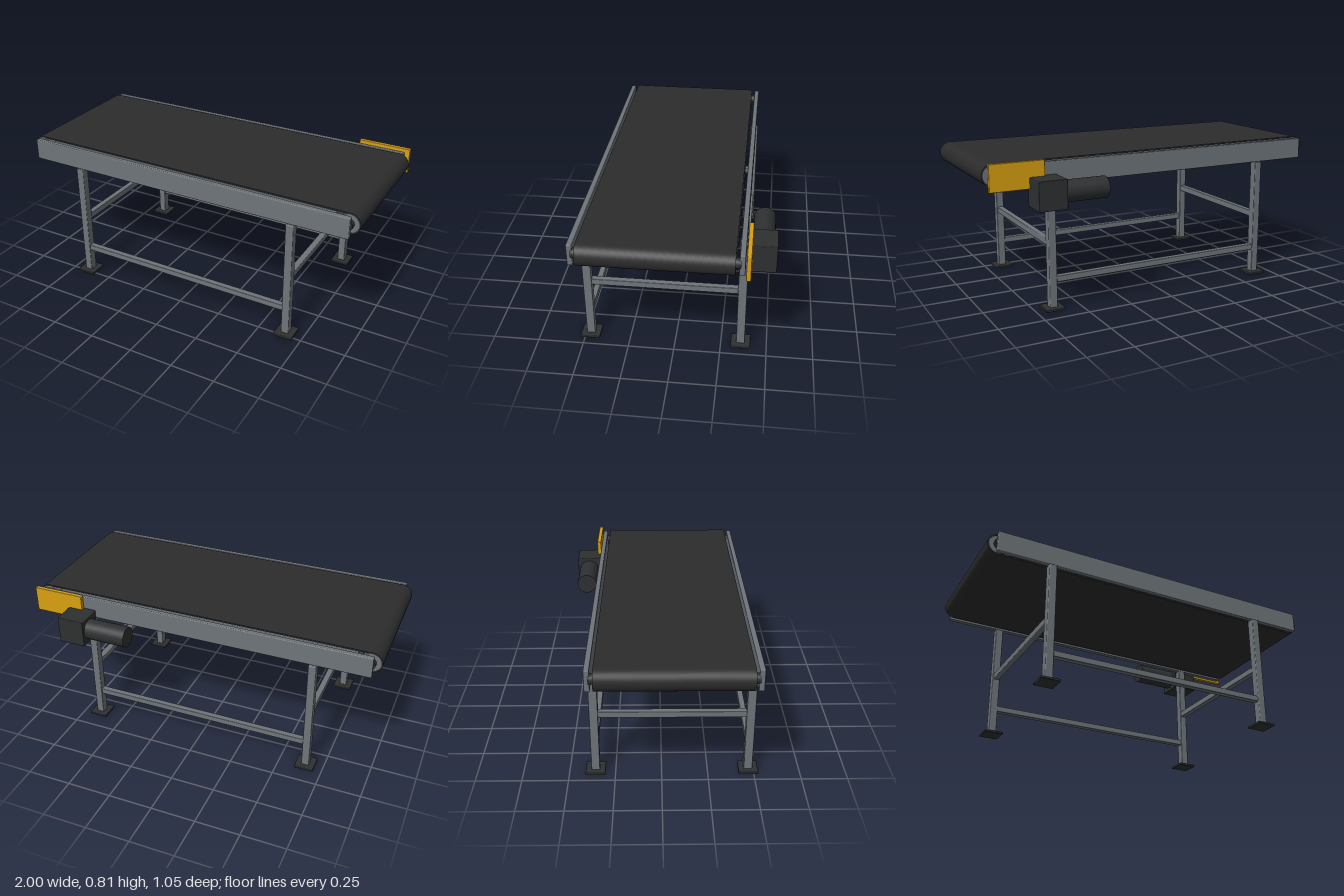
import * as THREE from 'three';
import { RoundedBoxGeometry } from 'three/addons/geometries/RoundedBoxGeometry.js';

const material = (name, color) => new THREE.MeshStandardMaterial({ name, color });

export function createModel() {
  const steel = material('painted steel', 0x6e757a);
  const rubber = material('belt rubber', 0x2c2c2c);
  const dark = material('dark metal', 0x2e3031);
  const yellow = material('safety yellow', 0xd9a010);

  const model = new THREE.Group();
  model.name = 'beltConveyor';

  const add = (name, geometry, mat, x, y, z) => {
    const mesh = new THREE.Mesh(geometry, mat);
    mesh.name = name;
    mesh.position.set(x, y, z);
    model.add(mesh);
    return mesh;
  };
  const box = (name, mat, [w, h, d], [x, y, z], r = 0.004) =>
    add(name, new RoundedBoxGeometry(w, h, d, 2, r), mat, x, y, z);
  const rod = (name, mat, r, length, [x, y, z], axis) => {
    const geometry = new THREE.CylinderGeometry(r, r, length, 40);
    if (axis === 'z') geometry.rotateX(Math.PI / 2);
    else geometry.rotateZ(Math.PI / 2);
    return add(name, geometry, mat, x, y, z);
  };

  const midZ = 0.0565;     // centre line of the frame
  const beltY = 0.742;
  const drumX = 0.94;
  const beltR = 0.06;
  const beltWidth = 0.767;

  // Belt: a stadium-shaped loop swept across the width
  const stadium = (path, r) => {
    path.moveTo(-drumX, -r);
    path.lineTo(drumX, -r);
    path.absarc(drumX, 0, r, -Math.PI / 2, Math.PI / 2, false);
    path.lineTo(-drumX, r);
    path.absarc(-drumX, 0, r, Math.PI / 2, Math.PI * 1.5, false);
    return path;
  };
  const loop = stadium(new THREE.Shape(), beltR);
  loop.holes.push(stadium(new THREE.Path(), beltR - 0.008));
  const beltGeometry = new THREE.ExtrudeGeometry(loop, { depth: beltWidth, bevelEnabled: false, curveSegments: 20 });
  add('belt', beltGeometry, rubber, 0, beltY, midZ - beltWidth / 2);

  // End drums with their shafts
  for (const side of [-1, 1]) {
    rod('drum', steel, beltR - 0.008, beltWidth - 0.004, [side * drumX, beltY, midZ], 'z');
    rod('drumShaft', dark, 0.027, 0.816, [side * drumX, beltY, midZ], 'z');
  }

  // Slider bed inside the belt loop
  box('sliderBed', steel, [1.74, 0.09, beltWidth - 0.02], [0, beltY, midZ]);

  // Side rails, legs, feet and lengthwise braces
  const legX = 0.651;
  const legZ = 0.4145;
  for (const side of [-1, 1]) {
    const z = midZ + side * legZ;
    box('sideRail', steel, [1.916, 0.118, 0.028], [0, 0.737, z], 0.005);
    box('lengthBrace', steel, [2 * legX - 0.03, 0.034, 0.034], [0, 0.164, z]);
    for (const end of [-1, 1]) {
      box('leg', steel, [0.044, 0.668, 0.047], [end * legX, 0.344, z], 0.005);
      box('foot', dark, [0.107, 0.013, 0.107], [end * legX, 0.0065, z], 0.003);
    }
  }
  // Cross braces
  for (const end of [-1, 1]) {
    box('crossBrace', steel, [0.034, 0.036, 2 * legZ - 0.03], [end * legX, 0.362, midZ]);
  }

  // Drive at the back
  box('gearbox', dark, [0.155, 0.155, 0.15], [0.697, 0.652, -0.449], 0.004);
  rod('motor', dark, 0.058, 0.26, [0.51, 0.653, -0.453], 'x');
  box('driveGuard', yellow, [0.295, 0.144, 0.024], [0.8375, 0.741, -0.389], 0.004);

  return model;
}
